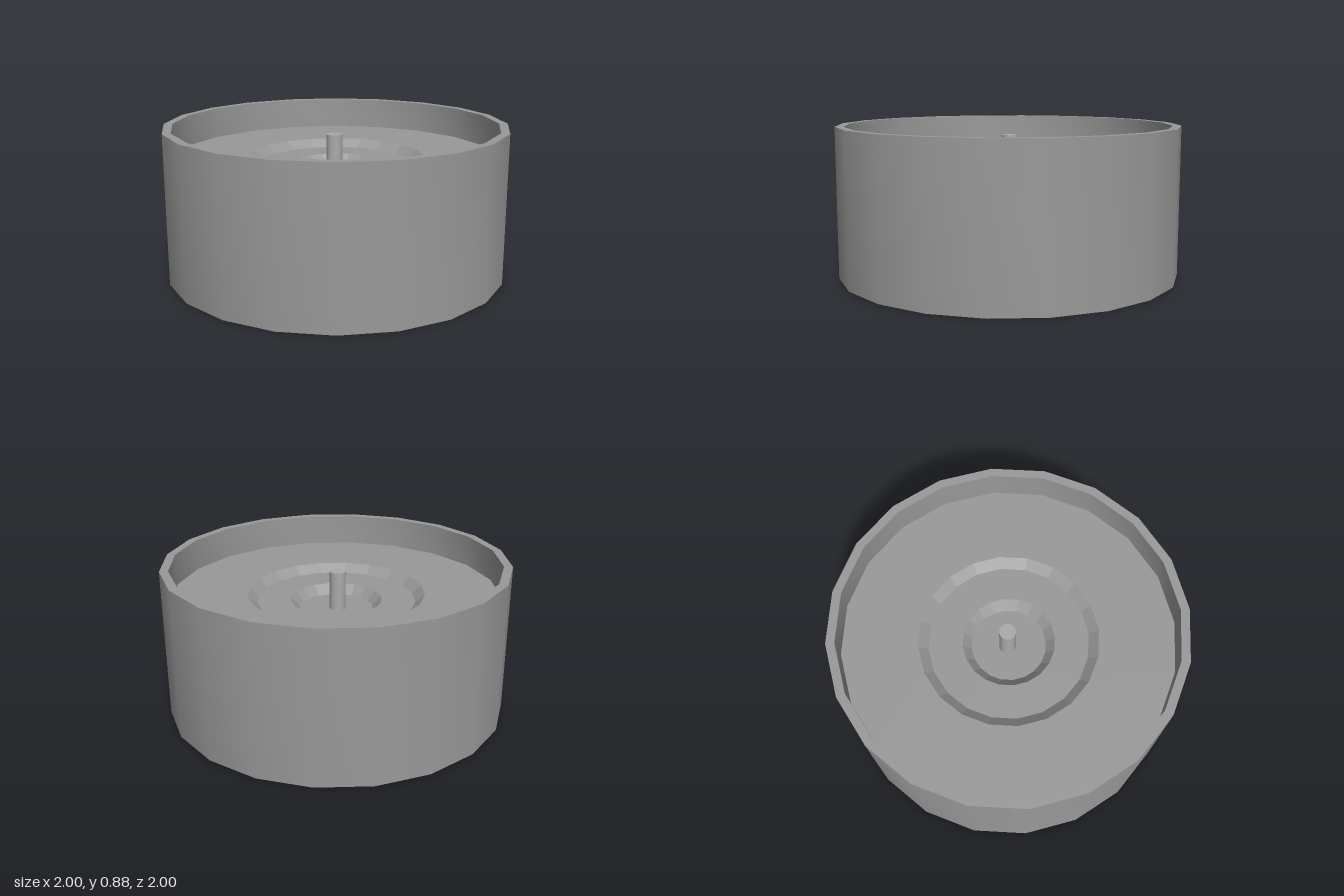
import * as THREE from 'three';
import { toCreasedNormals } from 'three/addons/utils/BufferGeometryUtils.js';

const SIDES = 20;
const SMOOTH = Math.PI / 6;
const FACETED = 0.05;

export function createModel() {
  const group = new THREE.Group();

  const add = (name, geometry, crease, color) => {
    const material = new THREE.MeshStandardMaterial({ color });
    const mesh = new THREE.Mesh(toCreasedNormals(geometry, crease), material);
    mesh.name = name;
    group.add(mesh);
    return mesh;
  };

  const lathe = (profile) =>
    new THREE.LatheGeometry(profile.map(([r, y]) => new THREE.Vector2(r, y)), SIDES);

  // Closed base, outer wall, thin rim and inner wall
  add('drum', lathe([[0, 0], [1, 0], [1, 0.876], [0.95, 0.876], [0.95, 0.69]]), SMOOTH, 0x999999);

  // Floor with two faceted slopes stepping down to the middle
  add('steppedFloor', lathe([
    [0.95, 0.69], [0.515, 0.69], [0.46, 0.643], [0.265, 0.643], [0.215, 0.587], [0, 0.587],
  ]), FACETED, 0x999999);

  // Upright pin, a touch off centre
  const bottom = 0.58, top = 0.815;
  const pin = add('centrePin',
    new THREE.CylinderGeometry(0.047, 0.047, top - bottom, SIDES), SMOOTH, 0xaaaaaa);
  pin.position.set(-0.006, (bottom + top) / 2, 0.01 - 0.02);

  return group;
}
